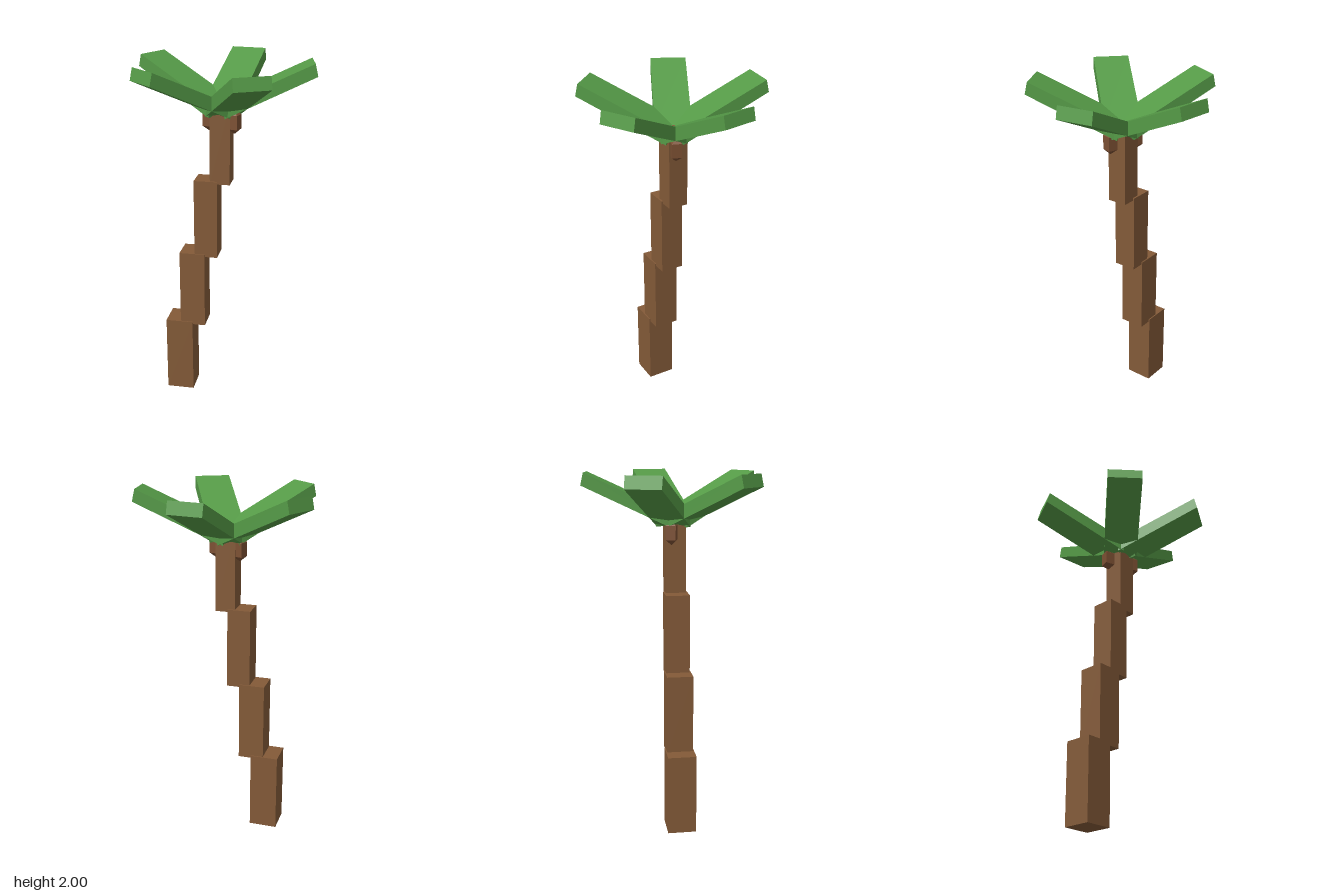
import * as THREE from 'three';

export function createModel() {
  const group = new THREE.Group();
  group.name = 'palmTree';
  const mat = (name, color) => {
    const m = new THREE.MeshStandardMaterial({ color });
    m.name = name;
    return m;
  };
  const bark = mat('bark brown', 0x835a38);
  const husk = mat('nut brown', 0x7c5033);
  husk.flatShading = true;
  const leaf = mat('leaf green', 0x559a47);
  const add = (geometry, material, name, x, y, z) => {
    const mesh = new THREE.Mesh(geometry, material);
    mesh.name = name;
    mesh.position.set(x, y, z);
    group.add(mesh);
    return mesh;
  };

  // Leaning trunk of stepped, narrowing blocks
  const widths = [0.16, 0.147, 0.133, 0.113];
  widths.forEach((w, i) => {
    add(new THREE.BoxGeometry(w, 0.457, w), bark, 'trunkBlock' + (i + 1),
      -0.255 + i * 0.081, 0.2285 + i * 0.441, 0.011);
  });

  // Five slabs rising outward from the crown, with slightly slanted ends
  const side = new THREE.Shape([
    new THREE.Vector2(0.016, 1.705),
    new THREE.Vector2(0.506, 1.932),
    new THREE.Vector2(0.49, 2.0),
    new THREE.Vector2(0, 1.777),
  ]);
  const frond = new THREE.ExtrudeGeometry(side, { depth: 0.2, bevelEnabled: false });
  frond.translate(0, 0, -0.1);
  for (let i = 0; i < 5; i++) {
    const mesh = add(frond, leaf, 'frond' + (i + 1), -0.01, 0, 0.01);
    mesh.rotation.y = THREE.MathUtils.degToRad(10 + i * 72);
  }

  // Two four-sided nuts with pointed ends under the crown
  const nut = new THREE.LatheGeometry([
    new THREE.Vector2(0, -0.057),
    new THREE.Vector2(0.039, -0.029),
    new THREE.Vector2(0.039, 0.05),
    new THREE.Vector2(0, 0.078),
  ], 4, THREE.MathUtils.degToRad(28));
  for (const s of [1, -1]) {
    add(nut, husk, s > 0 ? 'leftNut' : 'rightNut', -0.011 + s * 0.076, 1.667, 0.011 + s * 0.027);
  }
  return group;
}
